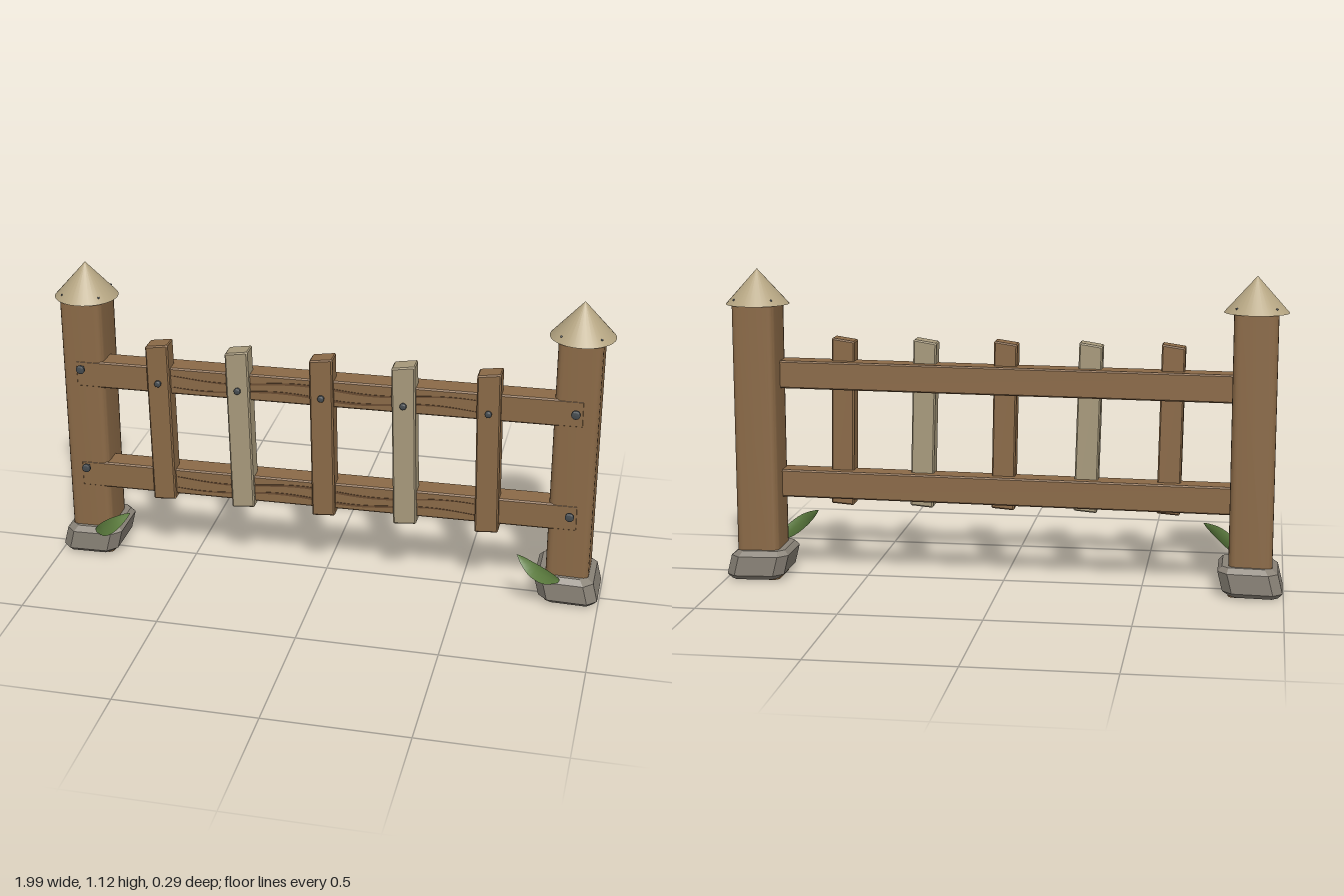
import * as THREE from 'three';
import { toCreasedNormals } from 'three/addons/utils/BufferGeometryUtils.js';

const mat = (color, extra = {}) => new THREE.MeshStandardMaterial({ color, ...extra });
const WOOD = mat(0x8b6a47);
const GRAIN = mat(0x6b4e33);
const PALE = mat(0xa89a7c);
const CAP = mat(0xb5a582);
const STONE = mat(0x8a8378, { flatShading: true });
const IRON = mat(0x454b4f);
const LEAF = mat(0x5f8040, { side: THREE.DoubleSide });

function add(parent, name, geometry, material, x = 0, y = 0, z = 0) {
  const mesh = new THREE.Mesh(geometry, material);
  mesh.name = name;
  mesh.position.set(x, y, z);
  parent.add(mesh);
  return mesh;
}

// Rectangle with cut (or rounded) corners
function cornerRect(w, h, c, round = false) {
  const s = new THREE.Shape(), a = w / 2, b = h / 2;
  const turn = (cx, cy, x, y) => round ? s.quadraticCurveTo(cx, cy, x, y) : s.lineTo(x, y);
  s.moveTo(-a + c, -b);
  s.lineTo(a - c, -b); turn(a, -b, a, -b + c);
  s.lineTo(a, b - c); turn(a, b, a - c, b);
  s.lineTo(-a + c, b); turn(-a, b, -a, b - c);
  s.lineTo(-a, -b + c); turn(-a, -b, -a + c, -b);
  return s;
}

// Board with chamfered edges, centred on its own origin
function board(w, h, d, bevel) {
  const g = new THREE.ExtrudeGeometry(cornerRect(w - 2 * bevel, h - 2 * bevel, 0.001), {
    depth: d - 2 * bevel, bevelEnabled: true, bevelSize: bevel, bevelThickness: bevel, bevelSegments: 1,
  });
  return g.translate(0, 0, -d / 2 + bevel);
}

// Domed bolt head on a thin shank, pointing to +z
function bolt(parent, x, y, z, r) {
  const pts = [[0, -0.03], [0.005, -0.03], [0.005, 0], [r, 0], [r, 0.008], [r * 0.6, 0.012], [0, 0.013]];
  const g = new THREE.LatheGeometry(pts.map(p => new THREE.Vector2(...p)), 12).rotateX(Math.PI / 2);
  add(parent, 'bolt', toCreasedNormals(g, 0.6), IRON, x, y, z);
}

// Curved leaf, lofted from folded cross-sections along a curve
function leafGeometry(s) {
  const curve = new THREE.CatmullRomCurve3([
    [-0.86, 0.1, 0.085], [-0.82, 0.127, 0.115], [-0.765, 0.17, 0.133], [-0.71, 0.21, 0.12],
  ].map(([x, y, z]) => new THREE.Vector3(x * s, y, z)));
  const across = new THREE.Vector3(-0.5 * s, 0.78, -0.35).normalize();
  const n = 12, pos = [], index = [];
  for (let i = 0; i <= n; i++) {
    const t = i / n, p = curve.getPoint(t);
    const w = 0.027 * Math.pow(Math.sin(Math.PI * (0.05 + 0.95 * t)), 0.8);
    for (const k of [-1, 0, 1]) {
      const q = p.clone().addScaledVector(across, k * w);
      pos.push(q.x, q.y, q.z + (k ? 0.25 * w : -0.1 * w));
    }
    if (i < n) for (const k of [0, 1]) {
      const a = i * 3 + k;
      index.push(a, a + 3, a + 1, a + 1, a + 3, a + 4);
    }
  }
  const g = new THREE.BufferGeometry();
  g.setAttribute('position', new THREE.Float32BufferAttribute(pos, 3));
  g.setIndex(index);
  g.computeVertexNormals();
  return g;
}

// Post with stone foot, pointed cap, bolts and leaf; s = +1 on the right side, -1 on the left
function buildPost(s) {
  const group = new THREE.Group();
  group.name = s > 0 ? 'rightPost' : 'leftPost';
  const x = -0.883 * s, z = -0.025;

  const post = new THREE.ExtrudeGeometry(cornerRect(0.153, 0.17, 0.025, true),
    { depth: 0.998, bevelEnabled: false, curveSegments: 4 }).rotateX(-Math.PI / 2);
  add(group, 'post', toCreasedNormals(post, 0.7), WOOD, x, 0, z);

  // Leaning stone block with chamfered edges
  const foot = new THREE.ExtrudeGeometry(cornerRect(0.17, 0.195, 0.022), {
    depth: 0.07, bevelEnabled: true, bevelSize: 0.02, bevelThickness: 0.018, bevelSegments: 1,
  }).rotateX(-Math.PI / 2).translate(0, 0.021, 0);
  const p = foot.attributes.position;
  for (let i = 0; i < p.count; i++) {
    p.setX(i, p.getX(i) + s * (p.getY(i) - 0.056) * 0.25);
    p.setY(i, p.getY(i) + s * p.getX(i) * 0.02);
  }
  foot.computeVertexNormals();
  add(group, 'stoneFoot', foot, STONE, x, 0, z);

  add(group, 'cap', new THREE.ConeGeometry(0.113, 0.126, 32), CAP, x, 1.058, z);
  for (let i = 0; i < 4; i++) {
    const a = Math.PI / 4 + i * Math.PI / 2;
    add(group, 'capNail', new THREE.SphereGeometry(0.004, 8, 6), IRON,
      x + 0.096 * Math.cos(a), 1.014, z + 0.096 * Math.sin(a));
  }
  for (const y of [0.75, 0.358]) bolt(group, x, y, 0.081, 0.016);
  add(group, 'leaf', leafGeometry(s), LEAF);
  return group;
}

// Wavy strip of wood grain lying on a rail face
function grainGeometry(y0, phase) {
  const n = 32, top = [], bottom = [];
  for (let i = 0; i <= n; i++) {
    const t = i / n, x = -0.55 + 1.1 * t;
    const y = y0 + 0.009 * Math.sin(t * Math.PI * 4 + phase);
    const h = 0.001 + 0.0035 * Math.sin(Math.PI * t);
    top.push(new THREE.Vector2(x, y + h));
    bottom.unshift(new THREE.Vector2(x, y - h));
  }
  return new THREE.ExtrudeGeometry(new THREE.Shape([...bottom, ...top]), { depth: 0.003, bevelEnabled: false });
}

function buildRail(name, y) {
  const group = new THREE.Group();
  group.name = name;
  add(group, 'railBeam', board(1.82, 0.1, 0.088, 0.005), WOOD);
  add(group, 'grain', grainGeometry(0.016, 2.6), GRAIN, 0, 0, 0.043);
  add(group, 'grain', grainGeometry(-0.02, 3.4), GRAIN, 0, 0, 0.043);
  group.position.set(0, y, 0.017);
  group.rotation.z = 0.01;
  return group;
}

// Picket with a slanted top, tilted slightly, and its bolt
function buildPicket(x, tilt, material) {
  const group = new THREE.Group();
  group.name = 'picket';
  const g = board(0.083, 0.604, 0.07, 0.005);
  const p = g.attributes.position;
  for (let i = 0; i < p.count; i++) {
    const slope = p.getY(i) > 0 ? 0.13 : 0.06;
    p.setY(i, p.getY(i) + p.getX(i) * slope);
  }
  g.computeVertexNormals();
  const body = add(group, 'picketBoard', g, material, x, 0.563, 0.046);
  body.rotation.z = tilt;
  bolt(group, x - 0.16 * Math.sin(tilt), 0.722, 0.081, 0.012);
  return group;
}

export function createModel() {
  const model = new THREE.Group();
  model.name = 'fence';
  model.add(buildPost(1), buildPost(-1));
  model.add(buildRail('upperRail', 0.732), buildRail('lowerRail', 0.333));
  [-0.593, -0.3, 0, 0.293, 0.588].forEach((x, i) => {
    const pale = i % 2 === 1;
    model.add(buildPicket(x, pale ? 0.027 : 0.018, pale ? PALE : WOOD));
  });
  return model;
}
